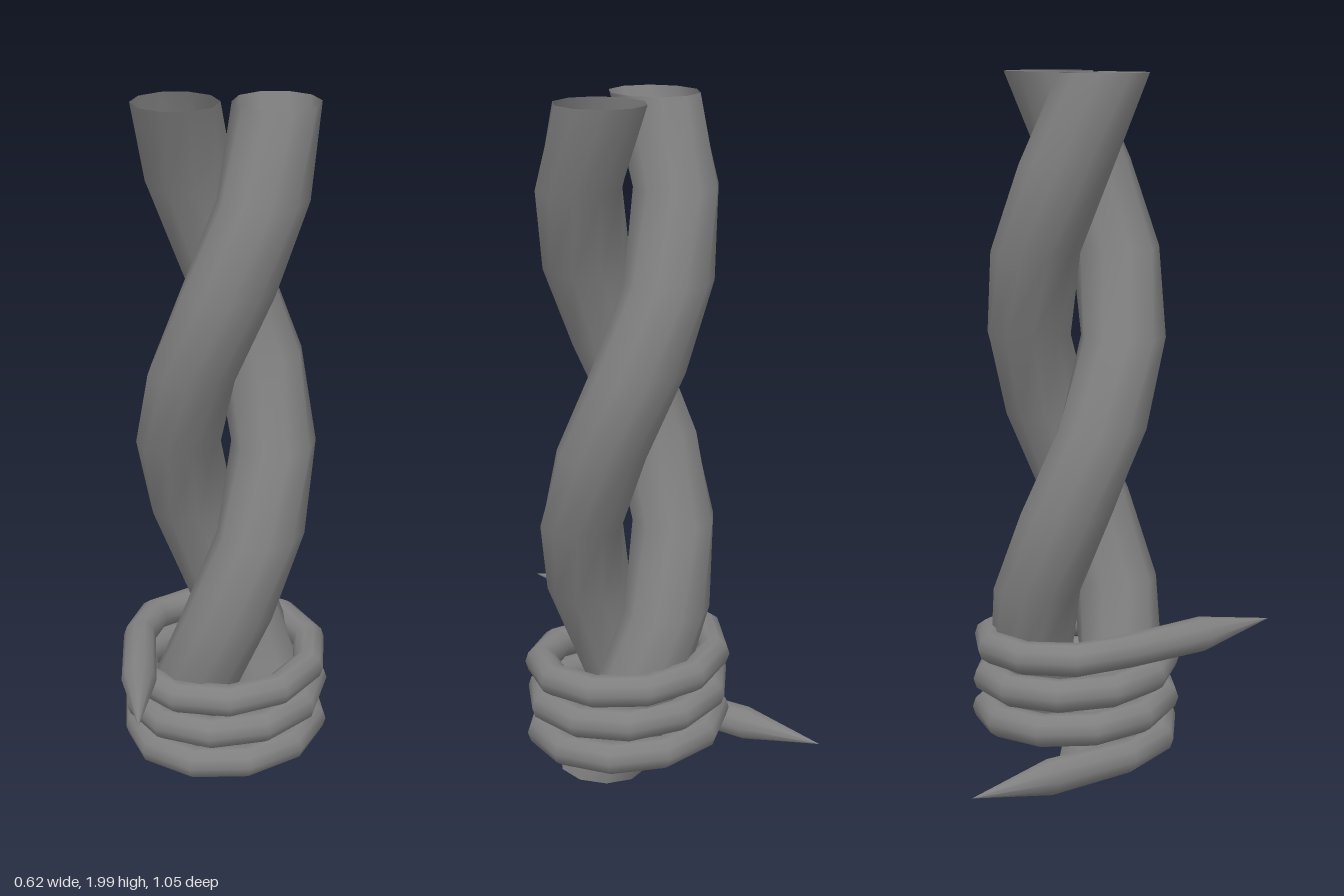
import * as THREE from 'three';

// Skin a list of rings with smooth shared vertices; ring(i, angle) gives a point.
function skin(ringCount, sides, ring, material, name) {
  const pos = [], idx = [];
  for (let i = 0; i < ringCount; i++) {
    for (let j = 0; j < sides; j++) pos.push(...ring(i, (j / sides) * Math.PI * 2).toArray());
  }
  for (let i = 0; i < ringCount - 1; i++) {
    for (let j = 0; j < sides; j++) {
      const k = (j + 1) % sides;
      const a = i * sides + j, b = i * sides + k, c = a + sides, d = b + sides;
      idx.push(a, b, c, b, d, c);
    }
  }
  const g = new THREE.BufferGeometry();
  g.setAttribute('position', new THREE.Float32BufferAttribute(pos, 3));
  g.setIndex(idx);
  g.computeVertexNormals();
  const mesh = new THREE.Mesh(g, material);
  mesh.name = name;
  return mesh;
}

export function createModel() {
  const model = new THREE.Group();
  model.name = 'barbedWire';
  const steel = new THREE.MeshStandardMaterial({ color: 0x808080, side: THREE.DoubleSide });
  steel.name = 'grey steel';

  // Two open strands twisted one full turn, cut level at both ends
  const bottom = 0.02, top = 2, steps = 8;
  const strand = (phase, name) => skin(steps + 1, 10, (i, a) => {
    const t = i / steps;
    const th = phase - t * Math.PI * 2;
    const out = 0.138 + 0.123 * Math.cos(a);
    const side = -0.134 * Math.sin(a);
    return new THREE.Vector3(
      out * Math.cos(th) - side * Math.sin(th),
      bottom + (top - bottom) * t,
      out * Math.sin(th) + side * Math.cos(th));
  }, steel, name);
  model.add(strand(0, 'leftStrand'), strand(Math.PI, 'rightStrand'));

  // Barb: spike, three coils around the strands, spike
  const R = 0.262, y0 = 0.054, y1 = 0.374, segs = 32, turns = 3;
  const path = [
    { p: [-R, y0, -0.523], r: 0.0005, h: Math.PI },
    { p: [-R, y0, -0.27], r: 0.051, h: Math.PI },
  ];
  for (let i = 0; i <= segs; i++) {
    const t = i / segs;
    const h = Math.PI - t * turns * Math.PI * 2;
    path.push({ p: [R * Math.cos(h), y0 + (y1 - y0) * t, R * Math.sin(h)], r: 0.048, h });
  }
  path.push({ p: [-R, y1, 0.27], r: 0.051, h: Math.PI });
  path.push({ p: [-R, y1, 0.523], r: 0.0005, h: Math.PI });
  model.add(skin(path.length, 10, (i, a) => {
    const { p, r, h } = path[i];
    const out = r * Math.cos(a);
    return new THREE.Vector3(
      p[0] + out * Math.cos(h), p[1] + r * Math.sin(a), p[2] + out * Math.sin(h));
  }, steel, 'coiledBarb'));

  return model;
}
